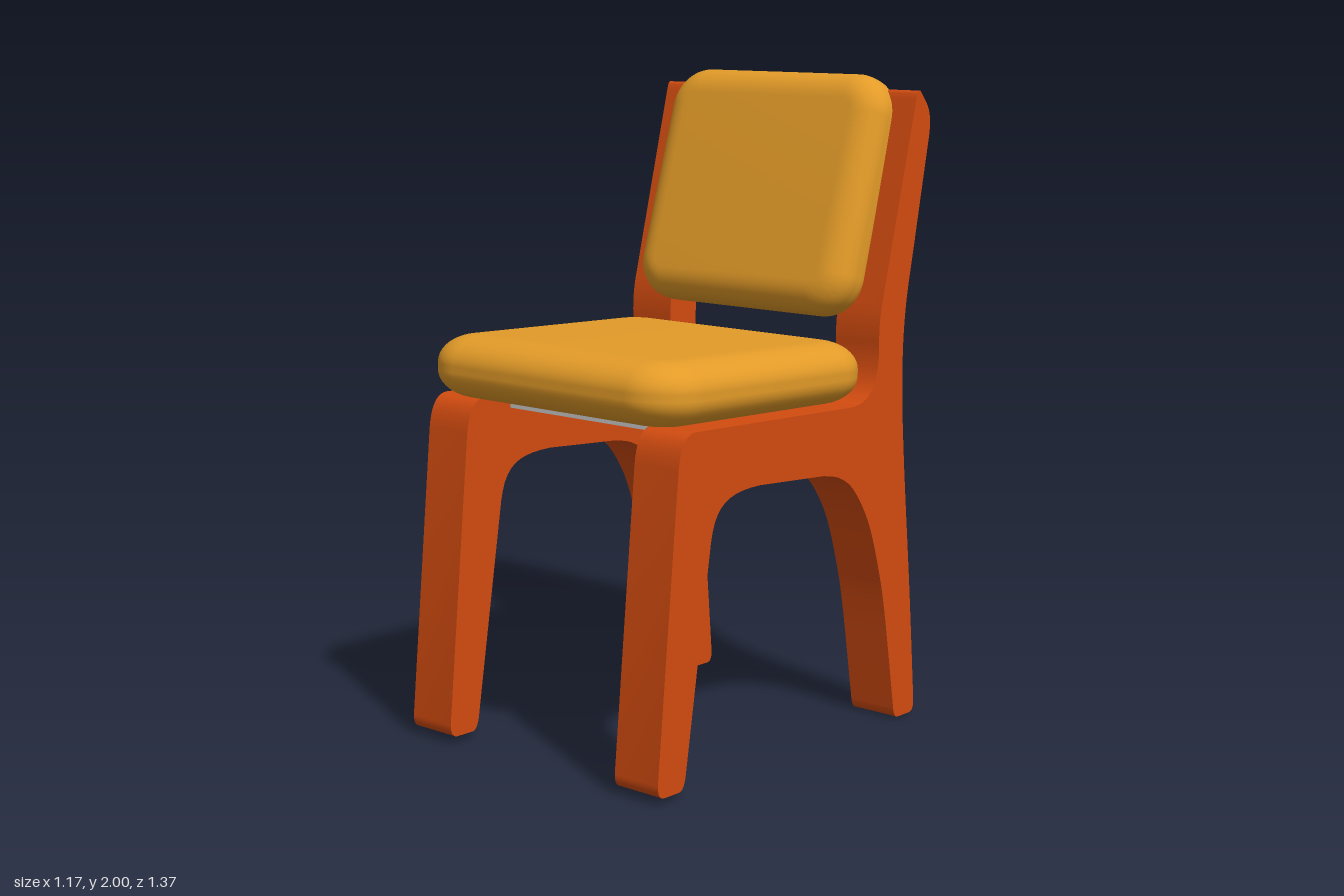
import * as THREE from 'three';
import { toCreasedNormals } from 'three/addons/utils/BufferGeometryUtils.js';

const frameMat = new THREE.MeshStandardMaterial({ color: 0xd24b10 });
frameMat.name = 'orange frame';
const cushionMat = new THREE.MeshStandardMaterial({ color: 0xe39b28 });
cushionMat.name = 'mustard fabric';
const slatMat = new THREE.MeshStandardMaterial({ color: 0xc8c8c8 });
slatMat.name = 'grey slat';

const OUTER = 0.505;   // half width over the side frames
const THICK = 0.165;   // side frame thickness

const vecs = (pts) => pts.map(([a, b]) => new THREE.Vector2(a, b));

// Side frame outline, drawn as (z, y)
function sideFrameGeometry() {
  const s = new THREE.Shape();
  // front foot and inside of the front leg
  s.moveTo(0.62, 0.06);
  s.quadraticCurveTo(0.62, 0.02, 0.59, 0.02);
  s.lineTo(0.53, 0.02);
  s.quadraticCurveTo(0.51, 0.02, 0.502, 0.06);
  s.lineTo(0.395, 0.72);
  // arch under the seat, then inside of the back leg
  s.bezierCurveTo(0.375, 0.83, 0.32, 0.855, 0.18, 0.855);
  s.lineTo(-0.12, 0.835);
  s.splineThru(vecs([[-0.2, 0.815], [-0.27, 0.765], [-0.345, 0.65], [-0.4, 0.49], [-0.435, 0.34], [-0.485, 0.04]]));
  // back foot
  s.quadraticCurveTo(-0.49, 0, -0.51, 0);
  s.lineTo(-0.57, 0);
  s.quadraticCurveTo(-0.595, 0, -0.593, 0.04);
  // rear edge
  s.splineThru(vecs([[-0.562, 0.4], [-0.52, 0.83], [-0.505, 1.08], [-0.515, 1.29], [-0.56, 1.52], [-0.622, 1.82]]));
  s.quadraticCurveTo(-0.635, 1.89, -0.6, 1.925);
  // rounded top and front edge of the upright
  s.lineTo(-0.575, 1.955);
  s.quadraticCurveTo(-0.56, 1.965, -0.552, 1.93);
  s.lineTo(-0.395, 1.32);
  s.quadraticCurveTo(-0.38, 1.26, -0.384, 1.19);
  // sweep into the seat rail and front corner
  s.bezierCurveTo(-0.384, 1.08, -0.34, 1.02, -0.245, 1.025);
  s.lineTo(0.46, 1.05);
  s.quadraticCurveTo(0.52, 1.05, 0.533, 0.95);
  s.closePath();
  const g = new THREE.ExtrudeGeometry(s, { depth: THICK, bevelEnabled: false, curveSegments: 10 });
  g.rotateY(-Math.PI / 2);
  return toCreasedNormals(g, 0.5);
}

// Soft padded slab: rounded rectangle with an elliptical edge all round
function cushionGeometry(w, h, thick, edge, corner) {
  const x = w / 2 - edge, y = h / 2 - edge, r = corner;
  const s = new THREE.Shape();
  s.moveTo(x - r, -y);
  s.absarc(x - r, -y + r, r, -Math.PI / 2, 0);
  s.absarc(x - r, y - r, r, 0, Math.PI / 2);
  s.absarc(-x + r, y - r, r, Math.PI / 2, Math.PI);
  s.absarc(-x + r, -y + r, r, Math.PI, Math.PI * 1.5);
  const depth = 0.02;
  const g = new THREE.ExtrudeGeometry(s, {
    depth, bevelThickness: (thick - depth) / 2, bevelSize: edge, bevelSegments: 10, curveSegments: 8,
  });
  g.translate(0, 0, -depth / 2);
  return toCreasedNormals(g, 0.8);
}

export function createModel() {
  const model = new THREE.Group();
  model.name = 'chair';
  const add = (name, geo, mat, y, z, tilt = 0, x = 0) => {
    const m = new THREE.Mesh(geo, mat);
    m.name = name;
    m.position.set(x, y, z);
    m.rotation.x = tilt;
    model.add(m);
    return m;
  };

  // side frames
  const side = sideFrameGeometry();
  add('leftSideFrame', side, frameMat, 0, 0, 0, OUTER);
  add('rightSideFrame', side, frameMat, 0, 0, 0, -OUTER + THICK);

  // cushions
  add('seatCushion', cushionGeometry(1.01, 0.97, 0.19, 0.12, 0.04), cushionMat, 1.132, 0.1, -Math.PI / 2 - 0.035);
  add('backCushion', cushionGeometry(0.85, 0.755, 0.18, 0.09, 0.04), cushionMat, 1.635, -0.457, -0.3);

  // slats between the side frames
  const inner = 2 * (OUTER - THICK) + 0.01;
  const backSlat = new THREE.BoxGeometry(inner, 0.13, 0.04);
  add('upperBackSlat', backSlat, slatMat, 1.75, -0.585, -0.2);
  add('lowerBackSlat', backSlat, slatMat, 1.49, -0.532, -0.2);
  const seatSlat = new THREE.BoxGeometry(inner, 0.04, 0.14);
  add('frontSeatSlat', seatSlat, slatMat, 1.022, 0.28, -0.035);
  add('rearSeatSlat', seatSlat, slatMat, 1.01, -0.08, -0.035);

  // the chair stands slightly turned
  model.rotation.y = -0.14;
  const root = new THREE.Group();
  root.name = 'turnedChair';
  root.add(model);
  return root;
}
